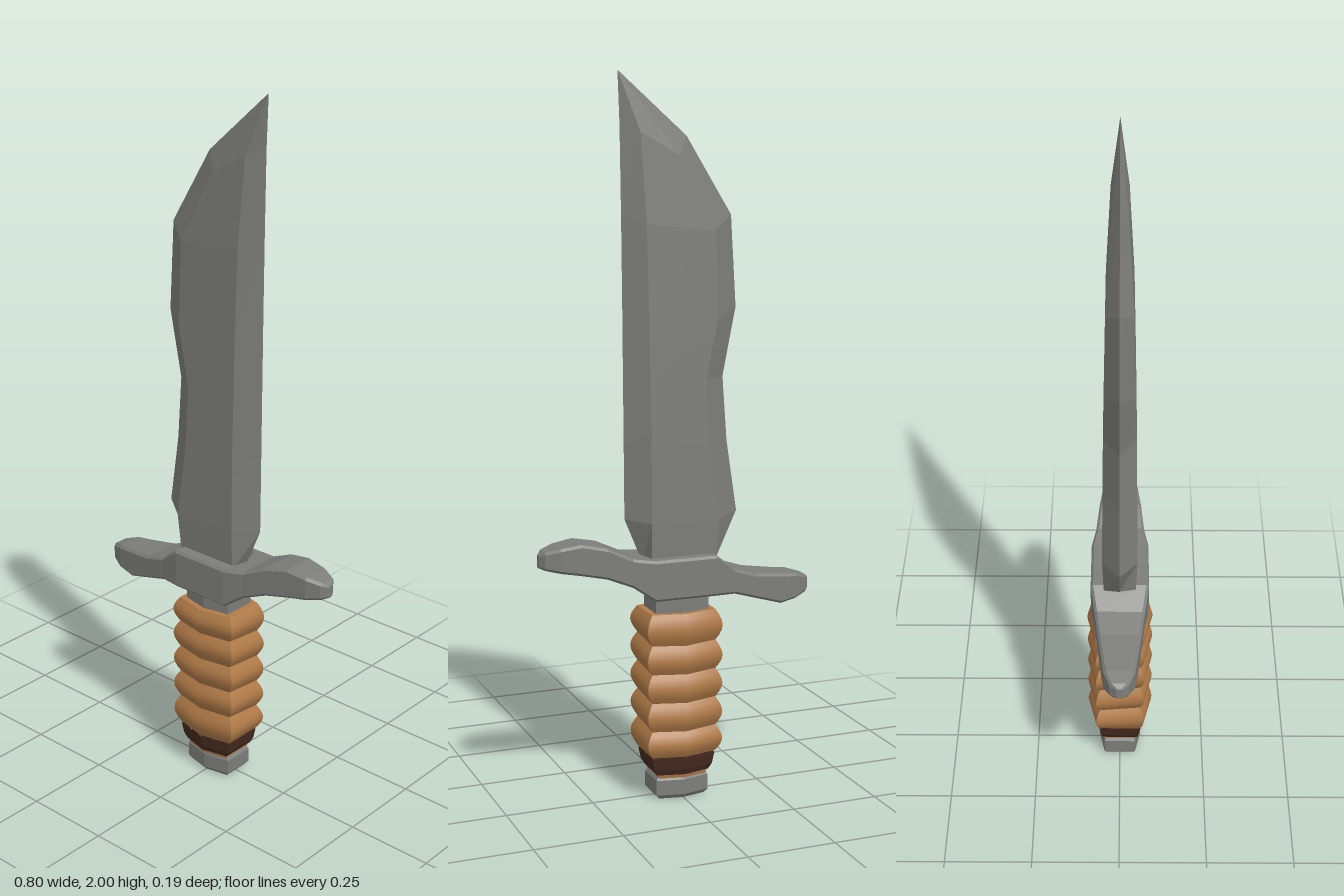
import * as THREE from 'three';
import { toCreasedNormals } from 'three/addons/utils/BufferGeometryUtils.js';

const steel = new THREE.MeshStandardMaterial({ color: 0x7d7d7b });
steel.name = 'steel';
const leather = new THREE.MeshStandardMaterial({ color: 0xb17b48 });
leather.name = 'tan leather';
const darkLeather = new THREE.MeshStandardMaterial({ color: 0x452a1f });
darkLeather.name = 'dark leather';

// Skin a stack of closed cross-sections and cap both ends
function loft(name, rings, material, crease = 0.02) {
  const pos = [];
  const tri = (...pts) => pts.forEach((p) => pos.push(...p));
  const n = rings[0].length;
  const centre = (r) => [0, 1, 2].map((k) => r.reduce((s, p) => s + p[k], 0) / n);
  const first = rings[0], last = rings[rings.length - 1];
  const c0 = centre(first), c1 = centre(last);
  for (let j = 0; j < n; j++) {
    const k = (j + 1) % n;
    for (let i = 0; i < rings.length - 1; i++) {
      const a = rings[i], b = rings[i + 1];
      tri(a[j], a[k], b[k]);
      tri(a[j], b[k], b[j]);
    }
    tri(c0, first[k], first[j]);
    tri(c1, last[j], last[k]);
  }
  const geo = new THREE.BufferGeometry();
  geo.setAttribute('position', new THREE.Float32BufferAttribute(pos, 3));
  const mesh = new THREE.Mesh(toCreasedNormals(geo, crease), material);
  mesh.name = name;
  return mesh;
}

// Six-sided handle section: flat sides, shallow ridge at front and back
function hex(y, w, d, slant = 0) {
  const c = d * 0.74;
  return [[-w, c], [0, d], [w, c], [w, -c], [0, -d], [-w, -c]]
    .map(([x, z]) => [x, y + z * slant, z]);
}

function createBlade() {
  // edge x,y | bevel x,y | spine bevel x,y | spine x,y | half thickness
  const rows = [
    [-0.105, 0.68, -0.10, 0.68, 0.09, 0.68, 0.10, 0.68, 0.045],
    [-0.18, 0.80, -0.11, 0.79, 0.09, 0.79, 0.152, 0.80, 0.049],
    [-0.15, 1.00, -0.08, 1.00, 0.09, 1.00, 0.153, 1.00, 0.047],
    [-0.137, 1.18, -0.07, 1.18, 0.092, 1.18, 0.154, 1.18, 0.045],
    [-0.175, 1.37, -0.105, 1.34, 0.094, 1.36, 0.155, 1.37, 0.042],
    [-0.16, 1.62, -0.10, 1.58, 0.098, 1.60, 0.157, 1.62, 0.037],
    [-0.03, 1.83, 0.0, 1.78, 0.11, 1.84, 0.16, 1.86, 0.024],
    [0.165, 2.0, 0.165, 2.0, 0.165, 2.0, 0.165, 2.0, 0],
  ];
  const rings = rows.map(([ex, ey, ax, ay, bx, by, sx, sy, t]) => [
    [ex, ey, 0], [ax, ay, t], [bx, by, t], [sx, sy, 0], [bx, by, -t], [ax, ay, -t],
  ]);
  return loft('blade', rings, steel);
}

function createGuard() {
  // x, bottom y, top y, half depth
  const rows = [
    [-0.4, 0.556, 0.590, 0.008], [-0.387, 0.550, 0.600, 0.027],
    [-0.348, 0.538, 0.611, 0.044], [-0.30, 0.530, 0.615, 0.050],
    [-0.22, 0.555, 0.625, 0.061], [-0.15, 0.577, 0.647, 0.070],
    [-0.09, 0.580, 0.694, 0.082], [0.09, 0.580, 0.694, 0.082],
    [0.15, 0.622, 0.702, 0.070], [0.22, 0.650, 0.735, 0.061],
    [0.29, 0.664, 0.750, 0.051], [0.348, 0.674, 0.742, 0.044],
    [0.387, 0.682, 0.732, 0.027], [0.4, 0.687, 0.722, 0.008],
  ];
  const rings = rows.map(([x, b, t, d]) => {
    const e = Math.min(0.007, d / 2);
    return [[t - e, d], [b + e, d], [b, d - e], [b, e - d],
      [b + e, -d], [t - e, -d], [t, e - d], [t, d - e]].map(([y, z]) => [x, y, z]);
  });
  return loft('guard', rings, steel);
}

// Five bulging wraps, tilted slightly from front to back
function createGrip() {
  const rings = [], wraps = 5, steps = 6, bottom = 0.128, height = 0.41;
  for (let i = 0; i <= wraps * steps; i++) {
    const u = i / (wraps * steps);
    const bulge = Math.sin(Math.PI * (i % steps) / steps);
    const slant = 0.1 * Math.min(1, 5 * u, 5 * (1 - u));
    rings.push(hex(bottom + height * u, 0.094 + 0.017 * bulge, 0.08 + 0.015 * bulge, slant));
  }
  return loft('gripWrap', rings, leather, 0.6);
}

// Dark band with a frayed upper edge
function createCollar() {
  const split = (ring, fray) => ring.flatMap((p, j) => {
    const q = ring[(j + 1) % ring.length];
    return [0, 1, 2, 3].map((s) => [
      p[0] + (q[0] - p[0]) * s / 4, p[1] + (s % 2 ? fray : -fray), p[2] + (q[2] - p[2]) * s / 4,
    ]);
  });
  return loft('collar', [
    split(hex(0.073, 0.076, 0.069), 0),
    split(hex(0.09, 0.086, 0.075), 0),
    split(hex(0.128, 0.092, 0.080), 0.006),
  ], darkLeather);
}

export function createModel() {
  const model = new THREE.Group();
  model.name = 'knife';
  model.add(createBlade(), createGuard(), createGrip(), createCollar());
  // Steel neck, leather ring under the collar, and pommel
  model.add(loft('neck', [hex(0.53, 0.078, 0.064), hex(0.60, 0.078, 0.064)], steel));
  model.add(loft('lowerRing', [hex(0.062, 0.07, 0.064), hex(0.076, 0.073, 0.067)], leather));
  model.add(loft('pommel', [
    hex(0, 0.067, 0.053), hex(0.012, 0.077, 0.062), hex(0.055, 0.077, 0.062), hex(0.066, 0.069, 0.056),
  ], steel));
  return model;
}
